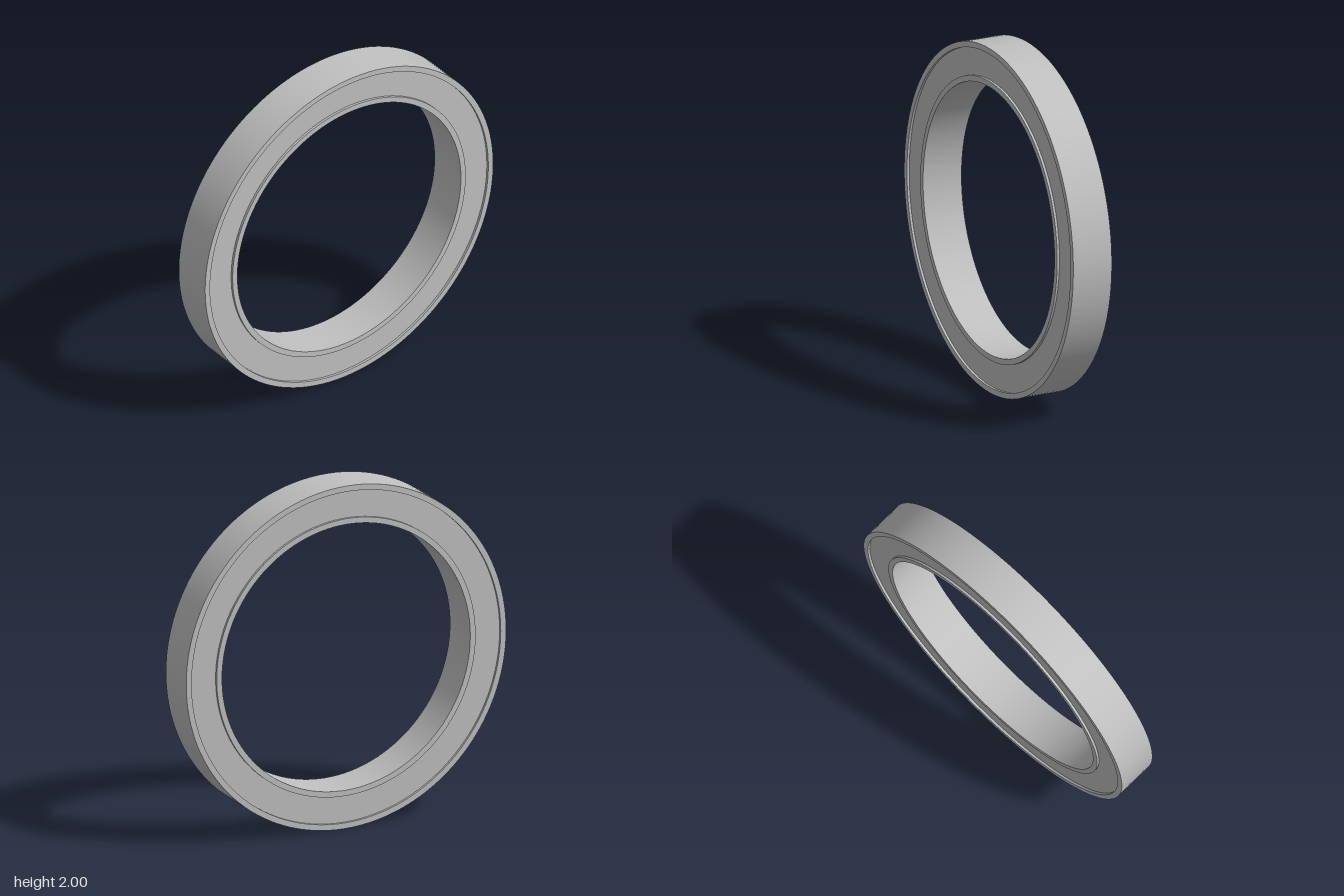
import * as THREE from 'three';
import { mergeGeometries } from 'three/addons/utils/BufferGeometryUtils.js';

const SEGMENTS = 128;

// Smooth round ring of rectangular section; each profile edge is its own strip so corners stay sharp
function ringGeometry(inner, outer, halfWidth) {
  const corners = [
    [inner, -halfWidth], [outer, -halfWidth], [outer, halfWidth], [inner, halfWidth],
  ].map(([r, h]) => new THREE.Vector2(r, h));
  const strips = corners.map((p, i) => new THREE.LatheGeometry([p, corners[(i + 1) % 4]], SEGMENTS));
  return mergeGeometries(strips);
}

export function createModel() {
  const steel = new THREE.MeshStandardMaterial({ color: 0xc0c0c0 });
  steel.name = 'steel grey';

  const model = new THREE.Group();
  model.name = 'ringBearing';

  // Axle runs along x, leaning very slightly
  const bearing = new THREE.Group();
  bearing.name = 'bearing';
  bearing.rotation.z = -Math.PI / 2 + 0.0125;
  bearing.position.y = 1;
  model.add(bearing);

  // name, inner radius, outer radius, half width (the seal sits recessed on both faces)
  const parts = [
    ['outerRing', 0.965, 0.9985, 0.12],
    ['seal', 0.808, 0.965, 0.106],
    ['innerRing', 0.775, 0.808, 0.12],
  ];
  for (const [name, inner, outer, halfWidth] of parts) {
    const mesh = new THREE.Mesh(ringGeometry(inner, outer, halfWidth), steel);
    mesh.name = name;
    bearing.add(mesh);
  }
  return model;
}
